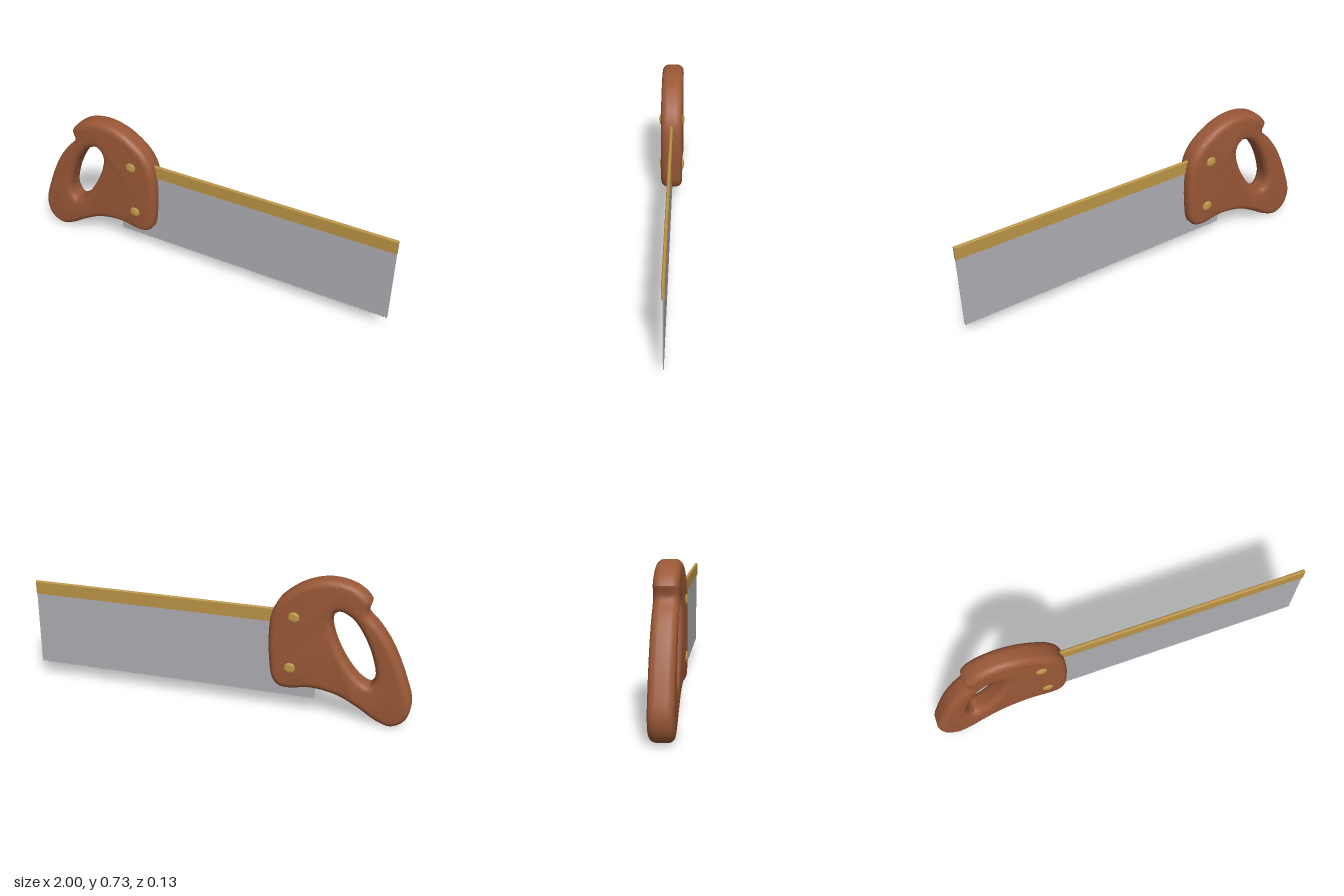
import * as THREE from 'three';
import { toCreasedNormals } from 'three/addons/utils/BufferGeometryUtils.js';

const mat = (name, color, side = THREE.FrontSide) => {
  const m = new THREE.MeshStandardMaterial({ color, side });
  m.name = name;
  return m;
};

// smooth closed loop through a few points
const loop = (pts, n) => new THREE.CatmullRomCurve3(
  pts.map(([x, y]) => new THREE.Vector3(x, y, 0)), true, 'centripetal'
).getSpacedPoints(n).slice(0, n).map(p => new THREE.Vector2(p.x, p.y));

export function createModel() {
  const wood = mat('wood', 0x9a5837);
  const brass = mat('brass', 0xbb9446, THREE.DoubleSide);
  const steel = mat('steel', 0xaeaeb3);
  const model = new THREE.Group();
  model.name = 'backSaw';
  const add = (name, geo, material, parent = model) => {
    const mesh = new THREE.Mesh(geo, material);
    mesh.name = name;
    parent.add(mesh);
    return mesh;
  };

  // handle: rounded wooden grip with a slanted finger hole
  const outline = new THREE.Shape(loop([
    [-0.91, 0.005], [-0.975, 0.045], [-1.0, 0.13], [-0.965, 0.26], [-0.89, 0.43], [-0.82, 0.53],
    [-0.765, 0.588], [-0.764, 0.613], [-0.778, 0.638], [-0.755, 0.676], [-0.687, 0.72], [-0.58, 0.738],
    [-0.473, 0.714], [-0.393, 0.668], [-0.33, 0.61], [-0.293, 0.535], [-0.281, 0.42], [-0.286, 0.29],
    [-0.302, 0.19], [-0.334, 0.15], [-0.393, 0.142], [-0.5, 0.158], [-0.634, 0.137], [-0.74, 0.085],
    [-0.837, 0.025],
  ], 110));
  outline.holes.push(new THREE.Path(loop([
    [-0.623, 0.581], [-0.593, 0.54], [-0.607, 0.45], [-0.676, 0.315], [-0.75, 0.232],
    [-0.794, 0.214], [-0.818, 0.262], [-0.803, 0.353], [-0.75, 0.476], [-0.687, 0.556],
  ], 56).reverse()));
  const half = 0.057, bevel = 0.034;
  const handleGeo = new THREE.ExtrudeGeometry(outline, {
    depth: 2 * (half - bevel), bevelEnabled: true, bevelThickness: bevel,
    bevelSize: bevel, bevelOffset: -bevel, bevelSegments: 6,
  });
  handleGeo.translate(0, 0, bevel - half);
  add('handle', toCreasedNormals(handleGeo, 0.7), wood);

  // blade: thin plate with a row of fine teeth
  const x0 = -0.52, x1 = 1, teeth = 120, pitch = (x1 - x0) / teeth;
  const plate = new THREE.Shape();
  plate.moveTo(x0, 0.535);
  plate.lineTo(x0, 0.09);
  for (let i = 0; i < teeth; i++) {
    plate.lineTo(x0 + (i + 0.5) * pitch, 0.08);
    plate.lineTo(x0 + (i + 1) * pitch, 0.09);
  }
  plate.lineTo(x1, 0.535);
  const bladeGeo = new THREE.ExtrudeGeometry(plate, { depth: 0.004, bevelEnabled: false });
  add('blade', bladeGeo.translate(0, 0, -0.002), steel);

  // spine: folded brass channel over the top of the blade
  const w = 0.008, slot = 0.002, fold = new THREE.Shape();
  fold.moveTo(slot, 0.48);
  fold.lineTo(w, 0.48);
  fold.lineTo(w, 0.546);
  fold.lineTo(w - 0.004, 0.551);
  fold.lineTo(-w + 0.004, 0.551);
  fold.lineTo(-w, 0.546);
  fold.lineTo(-w, 0.48);
  fold.lineTo(-slot, 0.48);
  fold.lineTo(-slot, 0.535);
  fold.lineTo(slot, 0.535);
  const spineGeo = new THREE.ExtrudeGeometry(fold, { depth: 1.4, bevelEnabled: false });
  spineGeo.rotateY(Math.PI / 2).translate(-0.4, 0, 0);
  add('spine', spineGeo, brass);

  // screws: slotted domes, each made of two halves either side of the slot
  const r = 0.028, rise = 0.0095, gap = 0.003;
  const profile = [];
  for (let i = 0; i <= 6; i++) {
    const a = i / 6 * Math.PI / 2;
    profile.push(new THREE.Vector2(r * Math.cos(a), rise * Math.sin(a)));
  }
  const domeGeo = new THREE.LatheGeometry(profile, 14, -Math.PI / 2, Math.PI);
  const wallGeo = new THREE.ShapeGeometry(new THREE.Shape(
    [...profile, ...profile.slice(0, -1).reverse().map(p => new THREE.Vector2(-p.x, p.y))]));
  const baseGeo = new THREE.CylinderGeometry(r - 0.001, r - 0.001, 0.004, 28);
  for (const [x, y] of [[-0.41, 0.533], [-0.398, 0.262]]) {
    for (const side of [1, -1]) {
      const screw = new THREE.Group();
      screw.name = 'screw';
      screw.position.set(x, y, side * half);
      screw.rotation.x = side * Math.PI / 2;
      add('screwBase', baseGeo, brass, screw).position.y = -0.001;
      for (const k of [1, -1]) {
        const part = new THREE.Group();
        part.name = 'screwHalf';
        part.position.z = k * gap;
        part.scale.z = 1 - gap / r;
        if (k < 0) part.rotation.y = Math.PI;
        add('screwDome', domeGeo, brass, part);
        add('slotWall', wallGeo, brass, part);
        screw.add(part);
      }
      model.add(screw);
    }
  }
  return model;
}
